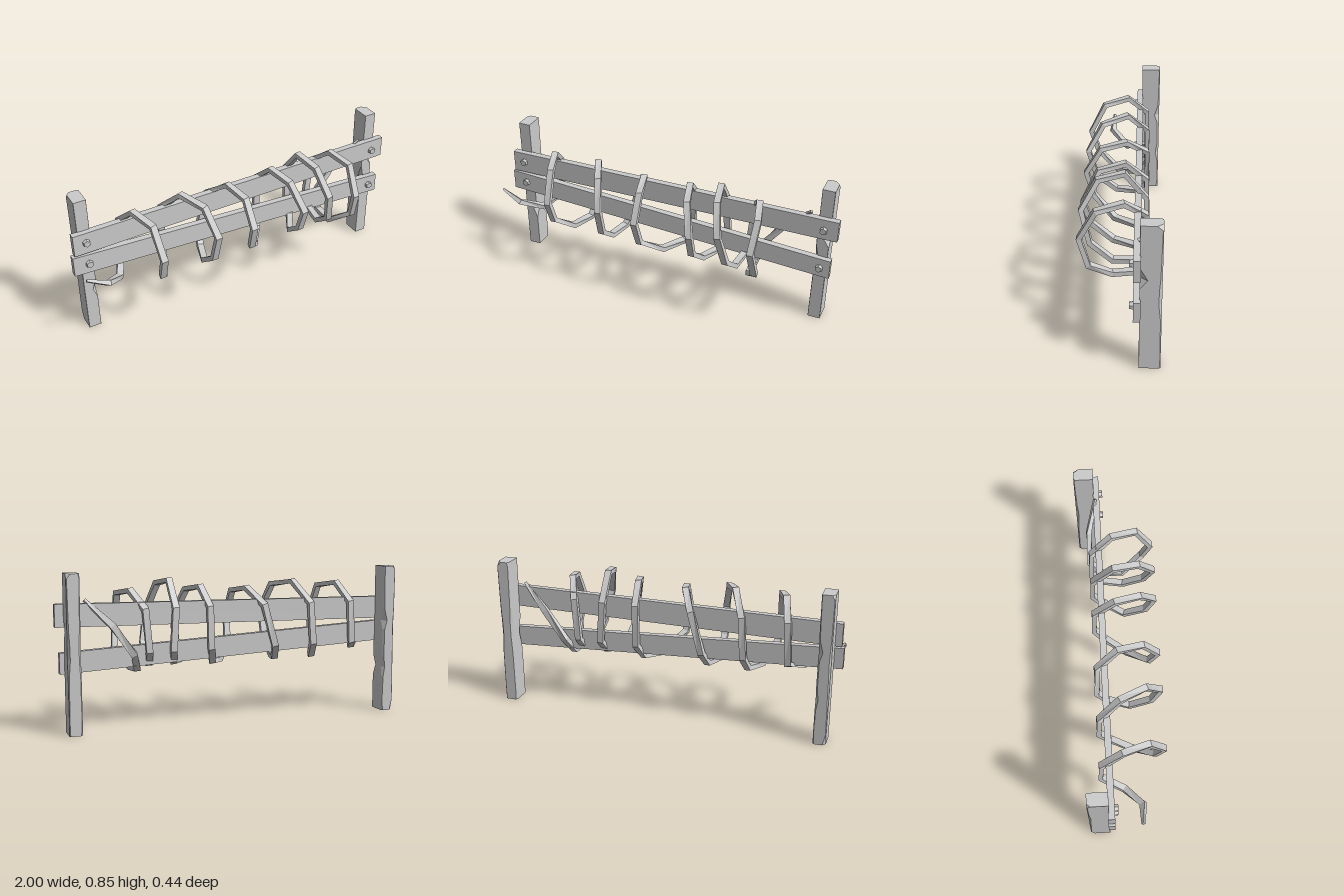
import * as THREE from 'three';

const material = new THREE.MeshStandardMaterial({ color: 0xcccccc, flatShading: true });

// Skin a list of closed rings (equal corner counts) and cap both ends
function loft(rings) {
  const pos = [];
  const n = rings[0].length;
  const tri = (a, b, c) => pos.push(...a, ...b, ...c);
  for (let i = 0; i < rings.length - 1; i++) {
    for (let j = 0; j < n; j++) {
      const k = (j + 1) % n;
      const a = rings[i][j], b = rings[i][k], c = rings[i + 1][k], d = rings[i + 1][j];
      tri(a, b, c);
      tri(a, c, d);
    }
  }
  const first = rings[0], last = rings[rings.length - 1];
  for (let j = 1; j < n - 1; j++) {
    tri(first[0], first[j + 1], first[j]);
    tri(last[0], last[j], last[j + 1]);
  }
  const g = new THREE.BufferGeometry();
  g.setAttribute('position', new THREE.Float32BufferAttribute(pos, 3));
  g.computeVertexNormals();
  return g;
}

function add(group, name, geometry) {
  const mesh = new THREE.Mesh(geometry, material);
  mesh.name = name;
  group.add(mesh);
  return mesh;
}

// Post: rectangular section whose four corners are chipped by differing amounts.
// Each level is [y, frontLeft, frontRight, backRight, backLeft] chamfer sizes.
function postGeometry(levels) {
  const w = 0.035, d = 0.055;
  return loft(levels.map(([y, fl, fr, br, bl]) => [
    [w, y, -d + bl], [w - bl * 0.8, y, -d],
    [-w + br * 0.8, y, -d], [-w, y, -d + br],
    [-w, y, d - fr], [-w + fr * 0.8, y, d],
    [w - fl * 0.8, y, d], [w, y, d - fl],
  ]));
}

// Plank: four-cornered slab between two tilted ends, [x, yLow, yHigh]
function plankGeometry(start, end) {
  const front = -0.085, back = -0.121;
  return loft([start, end].map(([x, lo, hi]) => [
    [x, lo, front], [x, lo, back], [x, hi, back], [x, hi, front],
  ]));
}

// Vine: rectangular strip swept along straight segments with mitred corners
function vineGeometry(points) {
  const pts = points.map((p) => new THREE.Vector3(...p));
  return loft(pts.map((p, i) => {
    const before = p.clone().sub(pts[Math.max(i - 1, 0)]).normalize();
    const after = pts[Math.min(i + 1, pts.length - 1)].clone().sub(p).normalize();
    const t = before.add(after).normalize();
    const out = new THREE.Vector3(0, p.y - 0.53, p.z - 0.02);
    out.addScaledVector(t, -out.dot(t)).normalize();
    const side = new THREE.Vector3().crossVectors(t, out);
    const taper = i === 0 || i === pts.length - 1 ? 0.45 : 1;
    return [[1, -1], [-1, -1], [-1, 1], [1, 1]].map(([a, b]) =>
      p.clone().addScaledVector(side, a * 0.018 * taper)
        .addScaledVector(out, b * 0.014 * taper).toArray());
  }));
}

export function createModel() {
  const model = new THREE.Group();
  model.name = 'fence';

  // Posts
  const leftLevels = [
    [0, 0.001, 0.001, 0.012, 0.006], [0.05, 0.001, 0.001, 0.006, 0.004],
    [0.3, 0.001, 0.004, 0.008, 0.006], [0.4, 0.001, 0.028, 0.014, 0.016],
    [0.49, 0.001, 0.004, 0.014, 0.014], [0.54, 0.04, 0.001, 0.01, 0.01],
    [0.61, 0.001, 0.001, 0.008, 0.008], [0.82, 0.001, 0.001, 0.004, 0.004],
    [0.845, 0.001, 0.001, 0.01, 0.03],
  ];
  const rightLevels = [
    [0, 0.001, 0.001, 0.022, 0.01], [0.06, 0.001, 0.001, 0.004, 0.004],
    [0.2, 0.001, 0.001, 0.006, 0.008], [0.26, 0.028, 0.001, 0.008, 0.02],
    [0.32, 0.001, 0.001, 0.008, 0.01], [0.48, 0.001, 0.004, 0.012, 0.012],
    [0.53, 0.001, 0.004, 0.01, 0.03], [0.6, 0.001, 0.001, 0.006, 0.008],
    [0.82, 0.001, 0.001, 0.004, 0.004], [0.845, 0.001, 0.001, 0.02, 0.006],
  ];
  add(model, 'leftPost', postGeometry(leftLevels)).position.set(0.917, 0, -0.17);
  add(model, 'rightPost', postGeometry(rightLevels)).position.set(-0.913, 0, -0.17);

  // Planks
  add(model, 'upperPlank', plankGeometry([-0.985, 0.535, 0.662], [0.998, 0.56, 0.682]));
  add(model, 'lowerPlank', plankGeometry([-0.998, 0.41, 0.527], [0.978, 0.312, 0.425]));

  // Hexagonal bolts
  for (const [x, y] of [[-0.915, 0.605], [0.92, 0.617], [-0.912, 0.467], [0.92, 0.37]]) {
    const bolt = add(model, 'bolt', new THREE.CylinderGeometry(0.019, 0.022, 0.022, 6));
    bolt.rotation.x = Math.PI / 2;
    bolt.position.set(x, y, -0.077);
  }

  // Vine: a loose end, six turns round the planks, and a trailing end
  const path = [[-0.985, 0.48, 0.062], [-0.87, 0.425, 0.07], [-0.77, 0.365, -0.025]];
  // y and z round one turn, from the back over the top to the underside
  const turn = [
    [0.41, -0.15], [0.64, -0.145], [0.745, -0.03], [0.72, 0.11],
    [0.57, 0.195], [0.42, 0.15], [0.325, 0.03], [0.335, -0.09],
  ];
  // x of those eight points on each turn, then the lift of its top, front and underside
  const turns = [
    [-0.71, -0.7, -0.665, -0.615, -0.6, -0.595, -0.535, -0.48, 0, -0.02, 0],
    [-0.465, -0.45, -0.385, -0.315, -0.28, -0.285, -0.285, -0.25, 0.015, 0.01, 0],
    [-0.23, -0.165, -0.1, -0.065, -0.06, -0.05, 0.04, 0.125, -0.015, -0.01, -0.005],
    [0.15, 0.155, 0.175, 0.215, 0.265, 0.265, 0.28, 0.35, 0, -0.01, 0.005],
    [0.365, 0.35, 0.355, 0.385, 0.425, 0.46, 0.475, 0.49, 0.04, 0.035, 0.005],
    [0.5, 0.52, 0.575, 0.615, 0.61, 0.625, 0.56, 0.555, -0.01, -0.02, -0.022],
  ];
  for (const xs of turns) {
    const [top, front, under] = xs.slice(8);
    const lifts = [0, 0, top, top, front, under, under, under];
    turn.forEach(([y, z], i) => path.push([xs[i], y + lifts[i], z]));
  }
  path.push([0.585, 0.4, -0.155], [0.7, 0.56, -0.155], [0.84, 0.7, -0.11]);
  add(model, 'vine', vineGeometry(path));

  return model;
}
